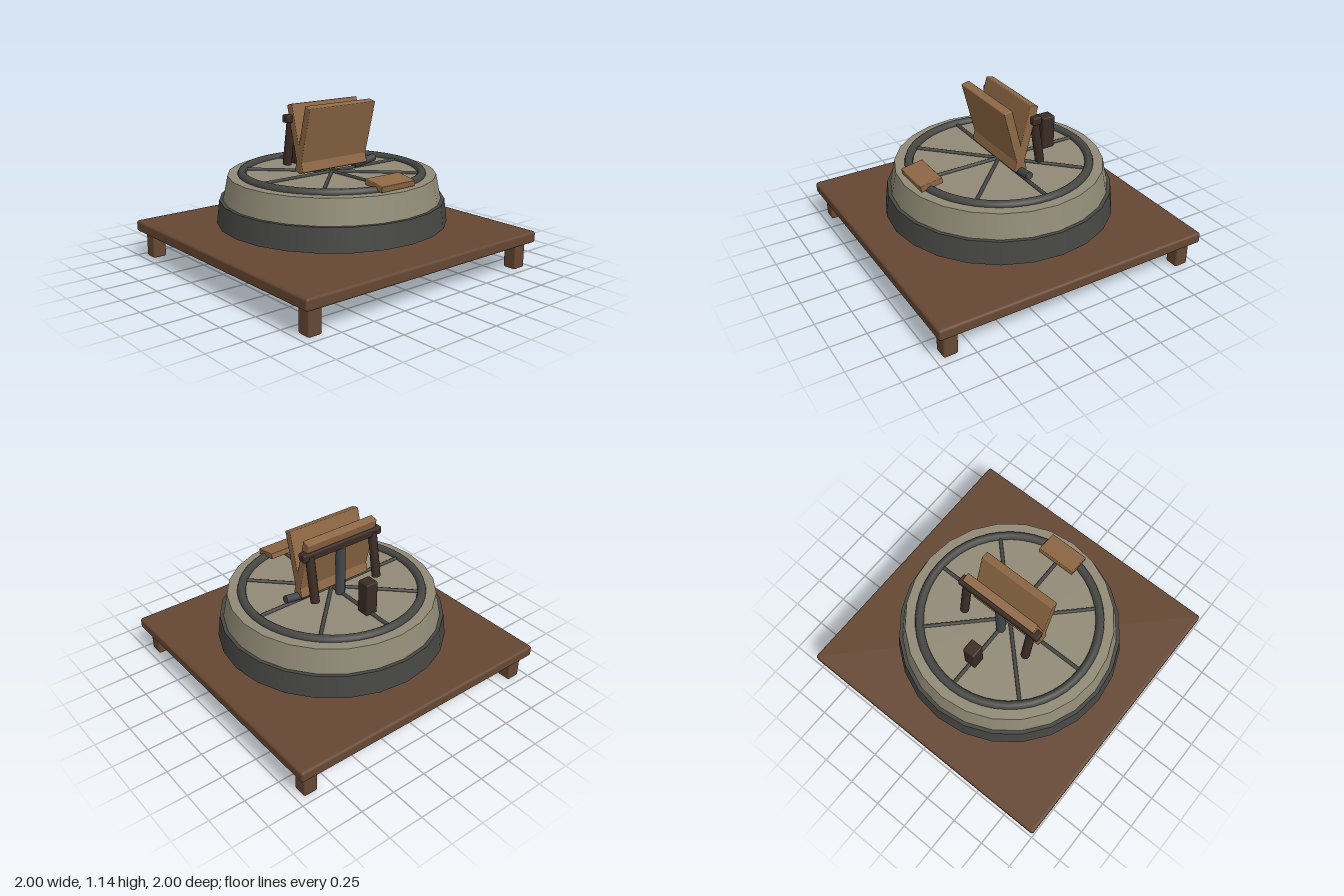
import * as THREE from 'three';
import { RoundedBoxGeometry } from 'three/addons/geometries/RoundedBoxGeometry.js';

const mat = (color) => new THREE.MeshStandardMaterial({ color });
const baseWood = mat(0x654733);
const panelWood = mat(0x8d6744);
const darkWood = mat(0x3b2b25);
const stone = mat(0x918a76);
const iron = mat(0x464643);
const steel = mat(0x42474a);

export function createModel() {
  const model = new THREE.Group();

  const add = (name, geometry, material, x, y, z) => {
    const mesh = new THREE.Mesh(geometry, material);
    mesh.name = name;
    mesh.position.set(x, y, z);
    model.add(mesh);
    return mesh;
  };
  const box = (name, w, h, d, material, x, y, z, r = 0.01) =>
    add(name, new RoundedBoxGeometry(w, h, d, 2, r), material, x, y, z);
  // Round bar between two points
  const bar = (name, a, b, radius, material, sides = 12) => {
    const from = new THREE.Vector3(...a), to = new THREE.Vector3(...b);
    const dir = to.clone().sub(from);
    const mid = from.add(to).multiplyScalar(0.5);
    const mesh = add(name, new THREE.CylinderGeometry(radius, radius, dir.length(), sides), material, mid.x, mid.y, mid.z);
    mesh.quaternion.setFromUnitVectors(new THREE.Vector3(0, 1, 0), dir.normalize());
    return mesh;
  };

  // Table with four short feet
  box('basePlate', 2, 0.08, 2, baseWood, 0, 0.222, 0, 0.018);
  for (const x of [-0.9, 0.9]) {
    for (const z of [-0.9, 0.9]) box('baseFoot', 0.1, 0.186, 0.1, baseWood, x, 0.093, z, 0.012);
  }

  // Tapered drum raised slightly above the table
  add('drumSkirt', new THREE.CylinderGeometry(0.78, 0.8, 0.16, 24), iron, 0, 0.4, 0);
  add('drumBody', new THREE.CylinderGeometry(0.72, 0.755, 0.17, 24), stone, 0, 0.565, 0);

  // Wheel set into the drum top
  const rim = add('wheelRim', new THREE.TorusGeometry(0.62, 0.03, 10, 48), iron, 0, 0.655, 0);
  rim.rotation.x = Math.PI / 2;
  for (let i = 0; i < 8; i++) {
    const a = (i * Math.PI) / 4;
    bar('wheelSpoke', [0, 0.655, 0], [Math.cos(a) * 0.61, 0.655, Math.sin(a) * 0.61], 0.013, iron, 8);
  }

  // Two crossed panels
  for (const s of [-1, 1]) {
    const panel = box('crossedPanel', 0.57, 0.47, 0.06, panelWood, 0, 0.91, s * 0.04, 0.006);
    panel.rotation.x = s * 0.255;
  }

  // Support frame behind the panels
  box('frameCrossbar', 0.65, 0.055, 0.065, darkWood, 0, 1.042, -0.1);
  for (const s of [-1, 1]) {
    bar('frameLeg', [s * 0.263, 0.715, -0.162], [s * 0.263, 1.04, -0.108], 0.031, darkWood);
  }
  bar('centrePost', [0, 0.65, -0.097], [0, 1.03, -0.097], 0.034, steel);

  // Side handle, rear stop and front wedge
  bar('sideHandle', [0.2, 0.675, 0], [0.39, 0.702, 0], 0.027, steel);
  box('rearStop', 0.092, 0.24, 0.096, darkWood, 0, 0.77, -0.383, 0.012);
  const wedge = box('frontBlock', 0.292, 0.042, 0.16, panelWood, 0, 0.686, 0.59, 0.005);
  wedge.rotation.x = 0.17;

  return model;
}
